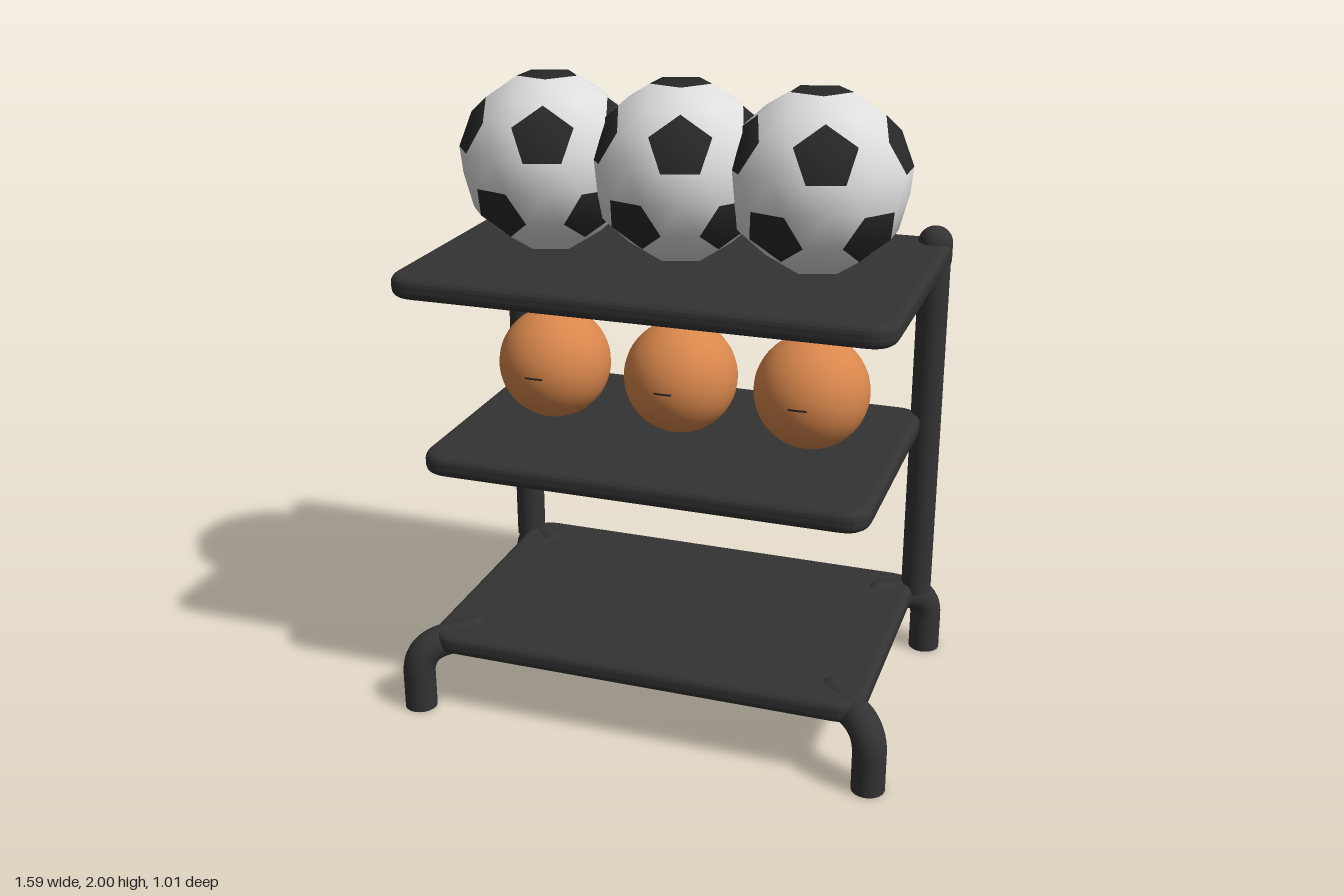
import * as THREE from 'three';

const metal = new THREE.MeshStandardMaterial({ color: 0x333333 });
metal.name = 'charcoal frame';
const white = new THREE.MeshStandardMaterial({ color: 0xdedede });
white.name = 'ball white';
const black = new THREE.MeshStandardMaterial({ color: 0x282828 });
black.name = 'ball black';
const orange = new THREE.MeshStandardMaterial({ color: 0xd9874c });
orange.name = 'ball orange';
const grey = new THREE.MeshStandardMaterial({ color: 0x777777 });
grey.name = 'patch grey';

function add(parent, name, geometry, material, x = 0, y = 0, z = 0) {
  const mesh = new THREE.Mesh(geometry, material);
  mesh.name = name;
  mesh.position.set(x, y, z);
  parent.add(mesh);
  return mesh;
}

// Board with rounded corners in plan and softened edges
function shelfGeometry(halfX, zBack, zFront, yLow, yHigh) {
  const b = 0.025, r = 0.06;
  const x = halfX - b, lo = -zFront + b, hi = -zBack - b;
  const s = new THREE.Shape();
  s.moveTo(-x + r, lo);
  s.lineTo(x - r, lo);
  s.quadraticCurveTo(x, lo, x, lo + r);
  s.lineTo(x, hi - r);
  s.quadraticCurveTo(x, hi, x - r, hi);
  s.lineTo(-x + r, hi);
  s.quadraticCurveTo(-x, hi, -x, hi - r);
  s.lineTo(-x, lo + r);
  s.quadraticCurveTo(-x, lo, -x + r, lo);
  const g = new THREE.ExtrudeGeometry(s, {
    depth: yHigh - yLow - 2 * b, bevelThickness: b, bevelSize: b, bevelSegments: 4, curveSegments: 6,
  });
  g.rotateX(-Math.PI / 2);
  g.translate(0, yLow + b, 0);
  return g;
}

// Twelve directions: two poles and two staggered rings of five
function ballDirections() {
  const dirs = [new THREE.Vector3(0, 1, 0), new THREE.Vector3(0, -1, 0)];
  const h = 1 / Math.sqrt(5);
  for (let k = 0; k < 5; k++) {
    for (const [offset, y] of [[0, h], [Math.PI / 5, -h]]) {
      const a = offset + k * Math.PI * 0.4;
      dirs.push(new THREE.Vector3(2 * h * Math.cos(a), y, 2 * h * Math.sin(a)));
    }
  }
  return dirs;
}

// Fans of triangles around each panel centre, with round normals
function panelGeometry(panels, cornerRadius, centreRadius) {
  const pos = [], nor = [];
  for (const { centre, corners } of panels) {
    const c = centre.clone().normalize();
    const u = corners[0].clone().addScaledVector(c, -corners[0].dot(c)).normalize();
    const v = c.clone().cross(u);
    const angle = (p) => Math.atan2(p.dot(v), p.dot(u));
    const ring = [...corners].sort((p, q) => angle(p) - angle(q));
    ring.forEach((p, i) => {
      const q = ring[(i + 1) % ring.length];
      for (const [d, r] of [[c, centreRadius], [p, cornerRadius], [q, cornerRadius]]) {
        pos.push(d.x * r, d.y * r, d.z * r);
        nor.push(d.x, d.y, d.z);
      }
    });
  }
  const g = new THREE.BufferGeometry();
  g.setAttribute('position', new THREE.Float32BufferAttribute(pos, 3));
  g.setAttribute('normal', new THREE.Float32BufferAttribute(nor, 3));
  return g;
}

// Pentagon panels sit on the directions, hexagon panels between each three neighbours
function footballGeometries() {
  const dirs = ballDirections();
  const near = (a, b) => a !== b && a.dot(b) > 0.4;
  const corner = (a, b) => a.clone().multiplyScalar(2).add(b).normalize();
  const pentagons = dirs.map((d) => ({
    centre: d, corners: dirs.filter((e) => near(d, e)).map((e) => corner(d, e)),
  }));
  const hexagons = [];
  dirs.forEach((a, i) => dirs.forEach((b, j) => dirs.forEach((c, k) => {
    if (i < j && j < k && near(a, b) && near(b, c) && near(a, c)) {
      hexagons.push({
        centre: a.clone().add(b).add(c),
        corners: [[a, b], [b, a], [b, c], [c, b], [a, c], [c, a]].map(([p, q]) => corner(p, q)),
      });
    }
  })));
  return { dark: panelGeometry(pentagons, 0.28, 0.265), light: panelGeometry(hexagons, 0.28, 0.267) };
}

export function createModel() {
  const model = new THREE.Group();
  model.name = 'ballRack';

  // Shelves
  add(model, 'topShelf', shelfGeometry(0.765, -0.475, 0.49, 1.4, 1.47), metal);
  add(model, 'middleShelf', shelfGeometry(0.705, -0.43, 0.455, 0.825, 0.895), metal);
  add(model, 'bottomShelf', shelfGeometry(0.71, -0.455, 0.455, 0.2, 0.27), metal);

  // Rear posts with domed caps
  const post = new THREE.CylinderGeometry(0.05, 0.05, 1.2, 24);
  const cap = new THREE.CapsuleGeometry(0.055, 0.05, 8, 24);
  for (const side of [-1, 1]) {
    add(model, 'rearPost', post, metal, side * 0.715, 0.84, -0.402);
    add(model, 'postCap', cap, metal, side * 0.712, 1.44, -0.41);
  }

  // Bent legs curving in under the corners
  const foot = new THREE.CircleGeometry(0.052, 20).rotateX(Math.PI / 2);
  const joint = new THREE.SphereGeometry(0.05, 16, 10);
  for (const sx of [-1, 1]) {
    for (const sz of [-1, 1]) {
      const at = (x, y, z) => new THREE.Vector3(sx * x, y, sz * z);
      const path = new THREE.CurvePath();
      path.add(new THREE.LineCurve3(at(0.745, 0, 0.454), at(0.745, 0.13, 0.454)));
      path.add(new THREE.QuadraticBezierCurve3(at(0.745, 0.13, 0.454), at(0.74, 0.22, 0.45), at(0.665, 0.222, 0.385)));
      path.add(new THREE.LineCurve3(at(0.665, 0.222, 0.385), at(0.6, 0.23, 0.33)));
      add(model, 'leg', new THREE.TubeGeometry(path, 28, 0.052, 20), metal);
      add(model, 'legFoot', foot, metal, sx * 0.745, 0, sz * 0.454);
      add(model, 'legJoint', joint, metal, sx * 0.6, 0.23, sz * 0.33);
    }
  }

  // Panelled balls on the top shelf
  const panels = footballGeometries();
  for (const x of [-0.425, 0, 0.425]) {
    const ball = new THREE.Group();
    ball.name = 'panelledBall';
    ball.position.set(x, 1.738, 0);
    add(ball, 'whitePanels', panels.light, white);
    add(ball, 'blackPanels', panels.dark, black);
    model.add(ball);
  }

  // Orange balls on the middle shelf, with short seam marks and a low side patch
  const sphere = new THREE.SphereGeometry(0.18, 40, 28);
  const seam = new THREE.TorusGeometry(0.1785, 0.0035, 6, 10, 0.32).rotateZ(Math.PI / 2 - 0.16);
  const patch = new THREE.SphereGeometry(0.182, 8, 5, Math.PI - 0.4, 0.8, 2.46, 0.44);
  for (const x of [-0.428, 0, 0.425]) {
    const ball = new THREE.Group();
    ball.name = 'orangeBall';
    ball.position.set(x, 1.078, 0);
    add(ball, 'ballSkin', sphere, orange);
    add(ball, 'sidePatch', patch, grey);
    for (const tilt of [0, Math.PI / 2, -Math.PI / 2]) {
      add(ball, 'seamMark', seam, black).rotation.x = tilt;
    }
    model.add(ball);
  }
  return model;
}
